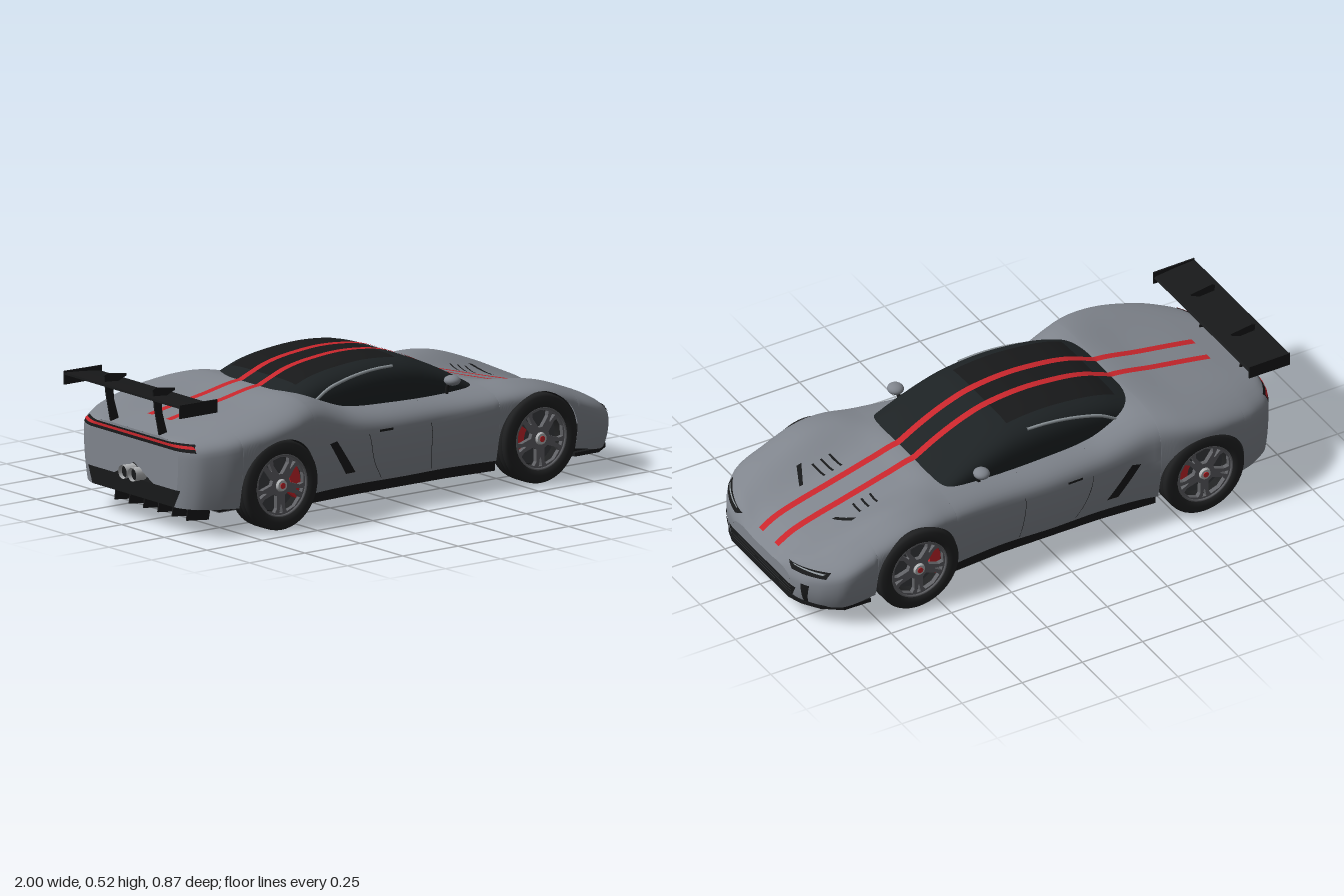
import * as THREE from 'three';

const mat = (color) => new THREE.MeshStandardMaterial({ color, side: THREE.DoubleSide });
const PAINT = mat(0x80858d), GLASS = mat(0x1d2224), BLACK = mat(0x18191a), RUBBER = mat(0x202122),
  RED = mat(0xc8262c), RIM = mat(0x606165), STEEL = mat(0xb4b6b8), PAN = mat(0x3c3e42), LENS = mat(0x8f979c), UNDERSIDE = mat(0x6b6e73);

// Smooth curve through [x, value] pairs
const keys = (...p) => (x) => {
  x = Math.min(Math.max(x, p[0][0]), p[p.length - 1][0]);
  let i = 0;
  while (i < p.length - 2 && x > p[i + 1][0]) i++;
  const slope = (j) => {
    const a = p[Math.max(j - 1, 0)], b = p[Math.min(j + 1, p.length - 1)];
    return (b[1] - a[1]) / (b[0] - a[0]);
  };
  const d = p[i + 1][0] - p[i][0], t = (x - p[i][0]) / d, t2 = t * t, t3 = t2 * t;
  return p[i][1] * (2 * t3 - 3 * t2 + 1) + p[i + 1][1] * (3 * t2 - 2 * t3)
    + d * (slope(i) * (t3 - 2 * t2 + t) + slope(i + 1) * (t3 - t2));
};
const bisect = (lo, hi, test) => {
  for (let i = 0; i < 30; i++) { const m = (lo + hi) / 2; if (test(m)) lo = m; else hi = m; }
  return lo;
};

// Body rules along x: half width, widest height, centre height, fender height, lower edge, squareness
const TAIL = -0.945, NOSE = 0.995;
const W = keys([TAIL, 0.26], [-0.935, 0.295], [-0.91, 0.338], [-0.87, 0.37], [-0.8, 0.406], [-0.65, 0.435], [-0.52, 0.425], [-0.38, 0.387], [-0.2, 0.372],
  [0, 0.375], [0.2, 0.37], [0.4, 0.388], [0.55, 0.41], [0.75, 0.408], [0.87, 0.397], [0.93, 0.35], [0.97, 0.29], [0.985, 0.255], [NOSE, 0.2]);
const B = keys([TAIL, 0.27], [-0.6, 0.3], [-0.2, 0.26], [0.2, 0.26], [0.58, 0.29], [0.8, 0.22], [0.9, 0.18], [NOSE, 0.14]);
const C = keys([TAIL, 0.345], [-0.8, 0.375], [-0.6, 0.408], [-0.42, 0.438], [-0.3, 0.42], [-0.2, 0.39], [0, 0.376], [0.2, 0.372],
  [0.4, 0.368], [0.5, 0.342], [0.6, 0.315], [0.7, 0.288], [0.8, 0.262], [0.9, 0.23], [0.965, 0.192], [NOSE, 0.165]);
const F = keys([TAIL, 0.352], [-0.8, 0.383], [-0.6, 0.42], [-0.45, 0.446], [-0.38, 0.443], [-0.3, 0.42], [-0.2, 0.39], [0, 0.376], [0.2, 0.37],
  [0.4, 0.37], [0.52, 0.376], [0.65, 0.36], [0.8, 0.308], [0.9, 0.262], [0.965, 0.225], [NOSE, 0.175]);
const Y0 = keys([TAIL, 0.1], [0.7, 0.1], [0.75, 0.1], [0.88, 0.078], [NOSE, 0.075]);
const N = keys([TAIL, 3.4], [-0.6, 4.2], [-0.42, 4], [-0.25, 3.2], [0.4, 3.2], [0.6, 3.4], [NOSE, 3]);
const ARCH = 0.17, AXLE_Y = 0.165, AXLES = [-0.6, 0.58];
const H = (x, z) => C(x) + (F(x) - C(x)) * THREE.MathUtils.smoothstep(Math.abs(z) / W(x), 0.25, 0.75);
const lowerZ = (x, y) => W(x) - 0.03 * ((B(x) - y) / (B(x) - 0.07)) ** 2;
const section = (x, s) => {
  if (s < 0) { const y = B(x) + s * (B(x) - Y0(x)); return [y, lowerZ(x, y)]; }
  const a = s * Math.PI / 2, z = W(x) * Math.max(Math.cos(a), 0) ** (2 / N(x));
  return [B(x) + (H(x, z) - B(x)) * Math.sin(a) ** (2 / N(x)), z];
};
const inside = (x, y, z) => {
  if (y < B(x)) return Math.abs(z) < lowerZ(x, y);
  return (Math.abs(z) / W(x)) ** N(x) + ((y - B(x)) / (H(x, z) - B(x))) ** N(x) < 1;
};
const topY = (x, z) => B(x) + (H(x, z) - B(x)) * Math.max(1 - (Math.abs(z) / W(x)) ** N(x), 0) ** (1 / N(x));
const sideZ = (x, y) => bisect(0, 0.5, (z) => inside(x, y, z));
const endX = (y, z, dir) => bisect(dir * 0.5, dir > 0 ? NOSE : TAIL, (x) => inside(x, y, z));

// Cabin rules
const SQUARE = 5;
const roofY = keys([-0.45, 0.425], [-0.38, 0.455], [-0.3, 0.484], [-0.2, 0.502], [-0.05, 0.512], [0.1, 0.498], [0.2, 0.468], [0.3, 0.423], [0.4, 0.366], [0.44, 0.34]);
const cabinW = keys([-0.45, 0.258], [-0.2, 0.274], [0, 0.277], [0.2, 0.275], [0.44, 0.27]);
const cabinY = (x, z) => (x < -0.45 || x > 0.44) ? 0
  : 0.3 + (roofY(x) - 0.3) * Math.max(1 - (Math.abs(z) / cabinW(x)) ** SQUARE, 0) ** (1 / SQUARE);

// Surface from a rule f(u, v) -> [x, y, z]
function grid(nu, nv, f) {
  const pos = [], idx = [], g = new THREE.BufferGeometry();
  for (let i = 0; i <= nu; i++) for (let j = 0; j <= nv; j++) pos.push(...f(i / nu, j / nv));
  for (let i = 0; i < nu; i++) for (let j = 0; j < nv; j++) {
    const a = i * (nv + 1) + j, b = a + nv + 1;
    idx.push(a, a + 1, b, b, a + 1, b + 1);
  }
  g.setAttribute('position', new THREE.Float32BufferAttribute(pos, 3));
  g.setIndex(idx);
  g.computeVertexNormals();
  return g;
}
// Four-cornered patch laid on a surface by map(a, b)
const patch = (c, map, nu = 10, nv = 4) => grid(nu, nv, (u, v) => {
  const m = (k) => (c[0][k] * (1 - u) + c[1][k] * u) * (1 - v) + (c[3][k] * (1 - u) + c[2][k] * u) * v;
  return map(m(0), m(1));
});
const shape = (p) => new THREE.Shape(p.map(([x, y]) => new THREE.Vector2(x, y)));
const slab = (s, depth) => new THREE.ExtrudeGeometry(s, { depth, bevelEnabled: false, curveSegments: 32 }).translate(0, 0, -depth / 2);
// Flat symmetrical plate between two heights
const plate = (half, y0, y1) => slab(shape([...half, ...half.map(([x, z]) => [x, -z]).reverse()]), y1 - y0).rotateX(Math.PI / 2).translate(0, (y0 + y1) / 2, 0);
const tube = (pts, r) => new THREE.TubeGeometry(new THREE.CatmullRomCurve3(pts.map((p) => new THREE.Vector3(...p))), 24, r, 6);

function wheel(caliperSide) {
  const g = new THREE.Group();
  const put = (geo, m, name) => { const o = new THREE.Mesh(geo, m); o.name = name; g.add(o); };
  // Tyre with tread grooves
  const prof = [[0.115, -0.046], [0.135, -0.054], [0.155, -0.052], [0.164, -0.043]];
  for (const y of [-0.025, 0, 0.025]) prof.push([0.165, y - 0.004], [0.159, y - 0.003], [0.159, y + 0.003], [0.165, y + 0.004]);
  prof.push([0.164, 0.043], [0.155, 0.052], [0.135, 0.054], [0.115, 0.048], [0.113, 0.03], [0.113, -0.046]);
  put(new THREE.LatheGeometry(prof.map((p) => new THREE.Vector2(...p)), 48).rotateX(Math.PI / 2), RUBBER, 'tyre');
  // Five split spokes cut from a disc
  const disc = new THREE.Shape().absarc(0, 0, 0.116, 0, Math.PI * 2);
  const polar = (r, a) => new THREE.Vector2(r * Math.cos(a), r * Math.sin(a));
  for (let i = 0; i < 5; i++) {
    const a = Math.PI / 2 + i * Math.PI * 0.4, b = a + Math.PI / 5;
    disc.holes.push(new THREE.Path([polar(0.042, a - 0.2), polar(0.085, a - 0.42), polar(0.102, a - 0.36), polar(0.105, a), polar(0.102, a + 0.36), polar(0.085, a + 0.42), polar(0.042, a + 0.2)]));
    disc.holes.push(new THREE.Path([polar(0.07, b - 0.03), polar(0.102, b - 0.08), polar(0.102, b + 0.08), polar(0.07, b + 0.03)]));
  }
  put(slab(disc, 0.018).translate(0, 0, 0.033), RIM, 'rim');
  put(new THREE.TorusGeometry(0.113, 0.005, 8, 48).translate(0, 0, 0.044), RIM, 'rimLip');
  put(new THREE.CylinderGeometry(0.1, 0.1, 0.012, 32).rotateX(Math.PI / 2).translate(0, 0, -0.01), PAN, 'brakeDisc');
  put(new THREE.CylinderGeometry(0.113, 0.113, 0.005, 32).rotateX(Math.PI / 2).translate(0, 0, -0.042), BLACK, 'wheelBack');
  put(new THREE.CylinderGeometry(0.02, 0.024, 0.012, 20).rotateX(Math.PI / 2).translate(0, 0, 0.046), STEEL, 'hub');
  put(new THREE.CylinderGeometry(0.011, 0.011, 0.004, 16).rotateX(Math.PI / 2).translate(0, 0, 0.053), RED, 'hubCap');
  const mid = caliperSide > 0 ? 0 : Math.PI;
  const arc = new THREE.Shape().absarc(0, 0, 0.103, mid - 0.65, mid + 0.65).absarc(0, 0, 0.058, mid + 0.65, mid - 0.65, true);
  put(slab(arc, 0.022).translate(0, 0, 0.01), RED, 'brakeCaliper');
  return g;
}

export function createModel() {
  const car = new THREE.Group();
  const add = (name, geo, m, parent = car) => { const o = new THREE.Mesh(geo, m); o.name = name; parent.add(o); return o; };

  // Body shell: stations crowd together around the wheel arches
  const xs = [], run = (a, b, n) => { for (let i = 0; i <= n; i++) xs.push(a + (b - a) * i / n); };
  const arch = (c) => { for (let i = 0; i <= 28; i++) xs.push(c - (ARCH - 1e-5) * Math.cos(Math.PI * i / 28)); };
  run(TAIL, -0.9, 8); run(-0.89, AXLES[0] - ARCH, 8); arch(AXLES[0]);
  run(AXLES[0] + ARCH, AXLES[1] - ARCH, 36); arch(AXLES[1]);
  run(AXLES[1] + ARCH, 0.93, 12); run(0.94, NOSE, 10);
  const edgeY = (x) => AXLES.reduce((y, c) => Math.max(y, Math.abs(x - c) < ARCH - 1e-6 ? AXLE_Y + Math.sqrt(ARCH ** 2 - (x - c) ** 2) : 0), Y0(x));
  const SPLIT = 0.55, starts = xs.map((x) => edgeY(x) - Y0(x) < 1e-6 ? -1 : bisect(-1, SPLIT, (s) => section(x, s)[0] < edgeY(x)));
  const n = xs.length - 1;
  add('bodyShell', grid(n, 96, (u, v) => {
    const i = Math.round(u * n), k = 2 * v - 1, t = 2 - 2 * Math.abs(k);
    const [y, z] = section(xs[i], t < 1 ? starts[i] + (SPLIT - starts[i]) * t : SPLIT + (1 - SPLIT) * (t - 1));
    return [xs[i], y, k < 0 ? -z : z];
  }), PAINT);
  for (const [name, x] of [['nosePanel', NOSE], ['tailPanel', TAIL]]) add(name, grid(1, 64, (u, v) => {
    const k = 2 * v - 1, [y, z] = section(x, 1 - 2 * Math.abs(k)), m = (Y0(x) + C(x)) / 2;
    return [x, m + (y - m) * u, (k < 0 ? -z : z) * u];
  }), PAINT);

  // Cabin
  add('cabinGlass', grid(50, 56, (u, v) => {
    const x = -0.45 + 0.89 * u, a = Math.PI * v, c = Math.cos(a), e = 2 / SQUARE;
    return [x, 0.3 + (roofY(x) - 0.3) * Math.max(Math.sin(a), 0) ** e, Math.sign(c) * cabinW(x) * Math.abs(c) ** e];
  }), GLASS);
  const onTop = (x, z) => [x, Math.max(topY(x, z), cabinY(x, z)) + 0.003, z];
  add('roofPanel', patch([[-0.36, -0.19], [0.09, -0.19], [0.09, 0.19], [-0.36, 0.19]], (x, z) => [x, cabinY(x, z) + 0.0015, z], 24, 16), BLACK);

  // Floor, sills, splitter and tail floor
  add('floor', plate([[-0.77, 0.27], [-0.43, 0.27], [-0.428, 0.362], [-0.2, 0.347], [0.2, 0.347], [0.408, 0.362], [0.41, 0.27], [0.75, 0.27],
    [0.752, 0.355], [0.87, 0.35], [0.95, 0.29], [0.97, 0.22]], 0.063, 0.108), BLACK);
  add('floorPan', plate([[-0.77, 0.27], [0.76, 0.27]], 0.06, 0.064), UNDERSIDE);
  add('splitter', plate([[0.76, 0.375], [0.87, 0.372], [0.94, 0.32], [0.98, 0.26], [1, 0.2]], 0.066, 0.08), BLACK);
  add('tailFloor', plate([[-0.94, 0.255], [-0.9, 0.32], [-0.772, 0.38], [-0.765, 0.27]], 0.098, 0.11), BLACK);
  for (let i = 0; i < 6; i++) add('diffuserFin', slab(shape([[-0.87, 0.035], [-0.77, 0.025], [-0.76, 0.075], [-0.78, 0.105], [-0.86, 0.105]]), 0.005).translate(0, 0, (i - 2.5) * 0.084), BLACK);

  // Nose and tail fittings
  const onNose = (y, z) => [endX(y, z, 1) + 0.003, y, z], onTail = (y, z) => [endX(y, z, -1) - 0.003, y, z];
  add('grille', patch([[0.076, -0.21], [0.076, 0.21], [0.125, 0.235], [0.125, -0.235]], onNose, 32, 4), BLACK);
  for (const y of [0.09, 0.102, 0.114]) add('grilleBar', patch([[y, -0.21], [y, 0.21], [y + 0.002, 0.21], [y + 0.002, -0.21]], (a, b) => [onNose(a, b)[0] + 0.002, a, b], 32, 1), PAN);
  add('tailLightBand', patch([[0.31, -0.33], [0.31, 0.33], [0.338, 0.31], [0.338, -0.31]], onTail, 40, 3), BLACK);
  add('tailLight', patch([[0.322, -0.325], [0.322, 0.325], [0.332, 0.31], [0.332, -0.31]], (a, b) => [onTail(a, b)[0] - 0.002, a, b], 40, 2), RED);
  add('rearGrille', patch([[0.103, -0.24], [0.103, 0.24], [0.165, 0.27], [0.165, -0.27]], onTail, 24, 4), BLACK);
  for (const z of [-0.028, 0.028]) {
    add('exhaustPipe', new THREE.CylinderGeometry(0.025, 0.025, 0.05, 20, 1, true).rotateZ(Math.PI / 2).translate(-0.95, 0.185, z), STEEL);
    add('exhaustBore', new THREE.CylinderGeometry(0.023, 0.023, 0.02, 20).rotateZ(Math.PI / 2).translate(-0.95, 0.185, z), BLACK);
  }

  // Rear wing
  add('wingBlade', slab(shape([[-1, 0.497], [-0.92, 0.491], [-0.84, 0.482], [-0.832, 0.476], [-0.86, 0.472], [-0.94, 0.476], [-1, 0.489]]), 0.68), BLACK);

  // Mirrored parts
  for (const s of [1, -1]) {
    const on = (pts, m, name, map, nu, nv) => add(name, patch(pts, map, nu, nv), m);
    const top = (x, z) => onTop(x, s * z), side = (x, y) => [x, y, s * (sideZ(x, y) + 0.003)], nose = (y, z) => onNose(y, s * z);
    on([[-0.83, 0.04], [0.965, 0.04], [0.965, 0.069], [-0.83, 0.069]], RED, 'stripe', top, 140, 2);
    for (const x of [0.6, 0.635, 0.67]) on([[x, 0.1], [x + 0.008, 0.1], [x + 0.018, 0.17], [x + 0.01, 0.17]], BLACK, 'hoodSlit', top);
    on([[0.755, 0.115], [0.77, 0.115], [0.735, 0.195], [0.715, 0.195]], BLACK, 'hoodVent', top);
    on([[0.186, 0.2], [0.204, 0.345], [0.227, 0.347], [0.202, 0.165]], BLACK, 'headlight', nose, 24, 5);
    on([[0.204, 0.2], [0.214, 0.33], [0.22, 0.335], [0.207, 0.2]], LENS, 'headlightLens', (y, z) => { const p = nose(y, z); p[0] += 0.003; return p; }, 16, 2);
    on([[0.08, 0.265], [0.08, 0.28], [0.16, 0.295], [0.158, 0.26]], BLACK, 'noseIntake', nose, 6, 8);
    on([[-0.355, 0.275], [-0.32, 0.28], [-0.225, 0.15], [-0.27, 0.15]], BLACK, 'sideVent', side, 6, 12);
    on([[-0.12, 0.284], [-0.06, 0.284], [-0.06, 0.292], [-0.12, 0.292]], BLACK, 'doorHandle', side);
    const seam = (pts) => tube(pts.map(([x, y]) => [x, y, s * sideZ(x, y)]), 0.001);
    add('doorSeam', seam([[0.11, 0.35], [0.115, 0.28], [0.12, 0.18], [0.13, 0.11]]), BLACK);
    add('doorSeam', seam([[-0.17, 0.36], [-0.165, 0.28], [-0.14, 0.18], [-0.1, 0.11]]), BLACK);
    add('windowTrim', tube([0, 1, 2, 3, 4, 5].map((i) => { const x = -0.34 + 0.075 * i, z = 0.262 - 0.004 * i; return [x, cabinY(x, z), s * z]; }), 0.006), LENS);
    add('mirror', new THREE.SphereGeometry(1, 20, 14).scale(0.03, 0.019, 0.032).translate(0.26, 0.406, s * 0.304), PAINT);
    add('mirrorStalk', tube([[0.255, 0.35, s * 0.275], [0.258, 0.38, s * 0.28], [0.26, 0.4, s * 0.295]], 0.008), BLACK);
    add('wingEndPlate', slab(shape([[-1, 0.452], [-0.83, 0.452], [-0.83, 0.5], [-1, 0.502]]), 0.006).translate(0, 0, s * 0.338), BLACK);
    add('wingPylon', slab(shape([[-0.94, 0.34], [-0.962, 0.45], [-0.97, 0.518], [-0.955, 0.524], [-0.87, 0.512], [-0.87, 0.505], [-0.93, 0.48], [-0.928, 0.43], [-0.905, 0.35]]), 0.006).translate(0, 0, s * 0.142), BLACK);
    // Wheels and wheel wells
    AXLES.forEach((c, i) => {
      const w = wheel(s * (i ? -1 : 1));
      w.name = i ? 'frontWheel' : 'rearWheel';
      w.position.set(c, AXLE_Y, s * (i ? 0.364 : 0.374));
      w.rotation.y = s > 0 ? 0 : Math.PI;
      car.add(w);
      add('wheelWell', grid(40, 2, (u, v) => {
        const a = -0.38 + u * (Math.PI + 0.76), k = THREE.MathUtils.clamp(a, 0, Math.PI);
        const x = c + ARCH * Math.cos(k), y = AXLE_Y + ARCH * (Math.sin(k) - Math.abs(a - k));
        return [x, y, s * (0.27 + v * (sideZ(x, y) - 0.276))];
      }), BLACK);
      add('wheelWellWall', new THREE.CircleGeometry(ARCH, 32, -0.65, Math.PI + 1.3).translate(c, AXLE_Y, s * 0.27), BLACK);
    });
  }
  return car;
}
